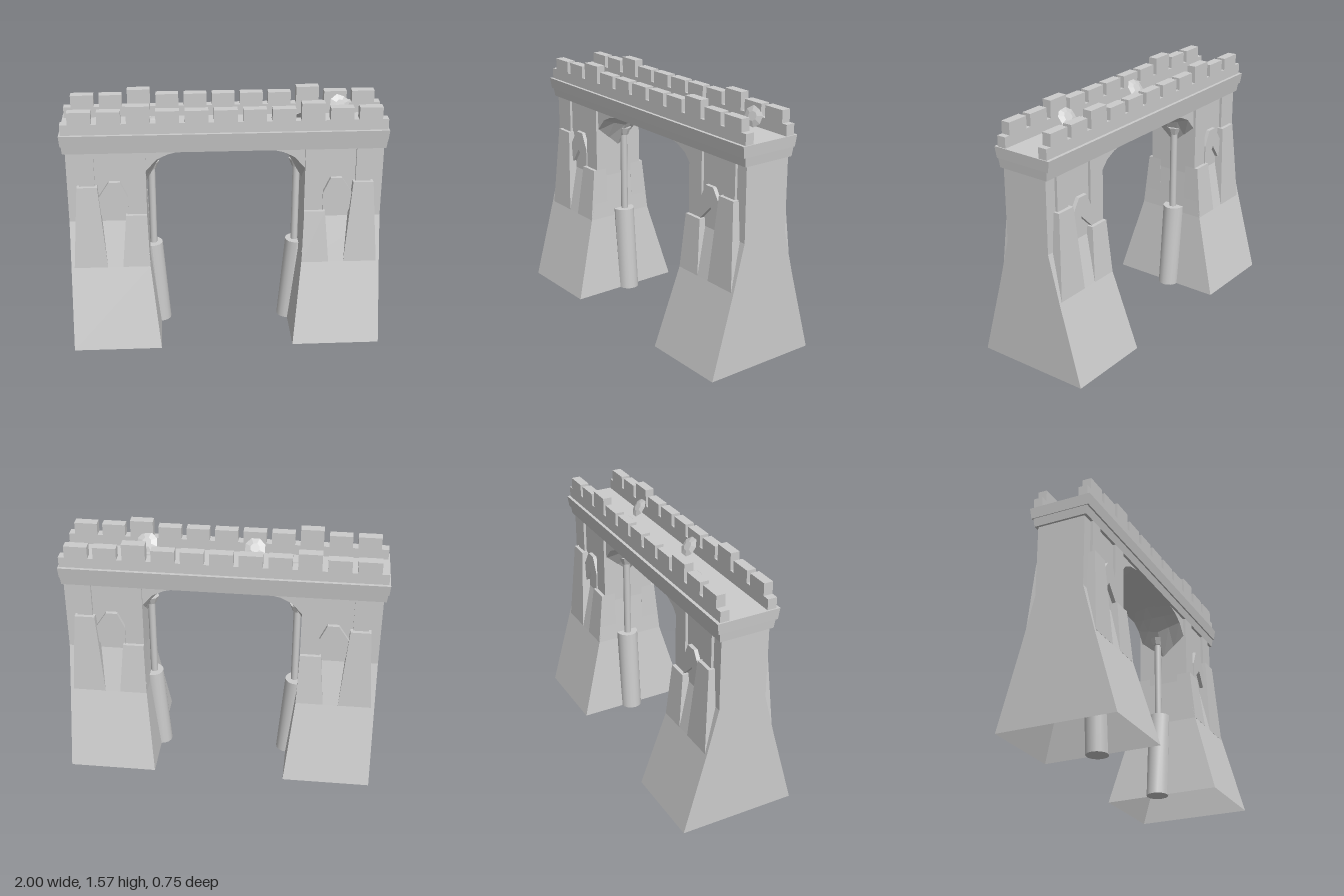
import * as THREE from 'three';

const grey = new THREE.MeshStandardMaterial({ color: 0xcccccc, side: THREE.DoubleSide, flatShading: true });
const smooth = new THREE.MeshStandardMaterial({ color: 0xcccccc, side: THREE.DoubleSide });

function add(parent, name, geometry, material = grey) {
  const mesh = new THREE.Mesh(geometry, material);
  mesh.name = name;
  parent.add(mesh);
  return mesh;
}

// Block lofted through rectangles [y, xA, xB, zA, zB], listed from the bottom up
function loft(sections, openBottom = false) {
  const n = sections.length - 1;
  let g = new THREE.BoxGeometry(1, 1, 1, 1, n, 1);
  const p = g.attributes.position;
  for (let i = 0; i < p.count; i++) {
    const [y, xA, xB, zA, zB] = sections[Math.round((p.getY(i) + 0.5) * n)];
    const x = p.getX(i) > 0 ? Math.max(xA, xB) : Math.min(xA, xB);
    const z = p.getZ(i) > 0 ? Math.max(zA, zB) : Math.min(zA, zB);
    p.setXYZ(i, x, y, z);
  }
  if (openBottom) {
    const { start, count } = g.groups[3];
    g.setIndex(Array.from(g.index.array).filter((_, i) => i < start || i >= start + count));
  }
  g.clearGroups();
  g = g.toNonIndexed();
  g.computeVertexNormals();
  return g;
}

// Hollow pier with buttresses, pilasters and pointed hoods on both faces; s = side in x
function buildPier(s) {
  const pier = new THREE.Group();
  pier.name = s > 0 ? 'leftPier' : 'rightPier';
  const core = [[0, 0.42, 0.375], [0.52, 0.478, 0.23], [0.81, 0.49, 0.155], [1.28, 0.49, 0.155]];
  add(pier, 'pierCore', loft(core.map(([y, x, z]) => [y, s * x, s * 0.975, -z, z]), true));

  for (const f of [1, -1]) {
    const block = (name, rows) =>
      add(pier, name, loft(rows.map(([y, a, b, z]) => [y, s * a, s * b, f * 0.1, f * z])));
    block('outerButtress', [[0.52, 0.745, 0.955, 0.231], [1.055, 0.79, 0.915, 0.195]]);
    block('innerButtress', [[0.52, 0.479, 0.65, 0.231], [0.86, 0.49, 0.62, 0.195]]);
    block('outerPilaster', [[1.0, 0.805, 0.9, 0.172], [1.28, 0.805, 0.9, 0.172]]);
    block('innerPilaster', [[0.8, 0.49, 0.605, 0.172], [1.28, 0.49, 0.605, 0.172]]);

    // Hood with a flat top and a pointed opening
    const outline = [[0.79, 0.86], [0.785, 0.98], [0.72, 1.08], [0.65, 1.08],
      [0.605, 0.98], [0.605, 0.86], [0.7, 0.955], [0.765, 0.86]];
    const shape = new THREE.Shape(outline.map(([x, y]) => new THREE.Vector2(s * x, y)));
    const hood = new THREE.ExtrudeGeometry(shape, { depth: 0.035, bevelEnabled: false });
    hood.translate(0, 0, f > 0 ? 0.145 : -0.18);
    add(pier, 'windowHood', hood);
  }
  return pier;
}

// Curved bracket under the deck, hanging lower towards the middle of its depth
function vaultGeometry(s) {
  const edge = [[0.5, 1.28], [0.5, 1.13], [0.425, 1.215], [0.355, 1.25], [0.225, 1.28]];
  const middle = [[0.5, 1.28], [0.5, 0.995], [0.405, 1.165], [0.315, 1.23], [0.2, 1.28]];
  const half = 0.155;
  const shape = new THREE.Shape(edge.map(([x, y]) => new THREE.Vector2(s * x, y)));
  const g = new THREE.ExtrudeGeometry(shape, { depth: 2 * half, steps: 4, bevelEnabled: false });
  g.translate(0, 0, -half);
  const p = g.attributes.position;
  for (let i = 0; i < p.count; i++) {
    const x = p.getX(i) * s, y = p.getY(i), z = p.getZ(i);
    const k = edge.findIndex(([a, b]) => Math.hypot(a - x, b - y) < 1e-4);
    if (k < 0) continue;
    const w = 1 - Math.abs(z) / half;
    p.setXY(i, s * THREE.MathUtils.lerp(x, middle[k][0], w), THREE.MathUtils.lerp(y, middle[k][1], w));
  }
  g.computeVertexNormals();
  return g;
}

// Column standing against the inner face of a pier
function buildColumn(s) {
  const column = new THREE.Group();
  column.name = s > 0 ? 'leftColumn' : 'rightColumn';
  const z = -0.025;
  const base = new THREE.CylinderGeometry(0.07, 0.07, 0.565, 16);
  base.translate(0, 0.2825, 0);
  // Lean the base with the slope of the pier
  const p = base.attributes.position;
  for (let i = 0; i < p.count; i++) p.setX(i, p.getX(i) + s * (0.425 + 0.08 * p.getY(i)));
  base.translate(0, 0, z);
  base.computeVertexNormals();
  add(column, 'columnBase', base, smooth);
  add(column, 'columnShaft', new THREE.CylinderGeometry(0.023, 0.023, 0.62, 12), smooth)
    .position.set(s * 0.458, 0.85, z);
  add(column, 'columnCapital', new THREE.CylinderGeometry(0.05, 0.03, 0.05, 8))
    .position.set(s * 0.458, 1.11, z);
  return column;
}

export function createModel() {
  const model = new THREE.Group();
  model.name = 'castleBridge';

  const supports = new THREE.Group();
  supports.name = 'supports';
  supports.position.x = 0.005;
  model.add(supports);
  for (const s of [1, -1]) {
    supports.add(buildPier(s), buildColumn(s));
    add(supports, 'vaultBracket', vaultGeometry(s));
  }

  // Deck with a lower band and a flared cornice
  add(model, 'deckBand', loft([[1.27, -0.985, 0.99, -0.172, 0.172], [1.325, -0.99, 0.995, -0.18, 0.18]]));
  add(model, 'deckCornice', loft([[1.325, -0.995, 0.995, -0.19, 0.19], [1.395, -1, 1, -0.2, 0.2]]));

  // Parapets with eleven merlons each, two of them taller
  for (const f of [1, -1]) {
    const parapet = new THREE.Group();
    parapet.name = f > 0 ? 'frontParapet' : 'backParapet';
    model.add(parapet);
    const bar = (name, y0, y1, x0, x1) =>
      add(parapet, name, loft([[y0, x0, x1, f * 0.122, f * 0.18], [y1, x0, x1, f * 0.122, f * 0.18]]));
    bar('parapetWall', 1.39, 1.462, -0.99, 0.993);
    for (let i = 0; i < 11; i++) {
      const x = -0.873 + i * 0.1757;
      const tall = i === 2 || i === 8;
      bar('merlon', 1.462, tall ? 1.57 : 1.538, x - 0.071, x + 0.071);
    }
  }

  // Low domes on the deck
  for (const x of [-0.43, 0.465]) {
    const dome = add(model, 'deckDome', new THREE.SphereGeometry(0.057, 20, 8, 0, Math.PI * 2, 0, Math.PI / 2), smooth);
    dome.scale.y = 0.42;
    dome.position.set(x, 1.394, -0.033);
  }

  // Eight-sided shields leaning on the parapets: position, then facing direction
  const shields = [
    [[-0.175, 1.45, 0.08], [0, 0.6, -0.8]],
    [[0.495, 1.45, 0.085], [0.08, 0.6, -0.8]],
    [[0.735, 1.46, -0.1], [0.18, 0.3, 0.94]],
  ];
  for (const [position, facing] of shields) {
    const shield = add(model, 'shield', new THREE.CylinderGeometry(0.03, 0.066, 0.012, 8));
    shield.position.set(...position);
    shield.quaternion.setFromUnitVectors(new THREE.Vector3(0, 1, 0), new THREE.Vector3(...facing).normalize());
    shield.rotateY(Math.PI / 8);
  }
  return model;
}
